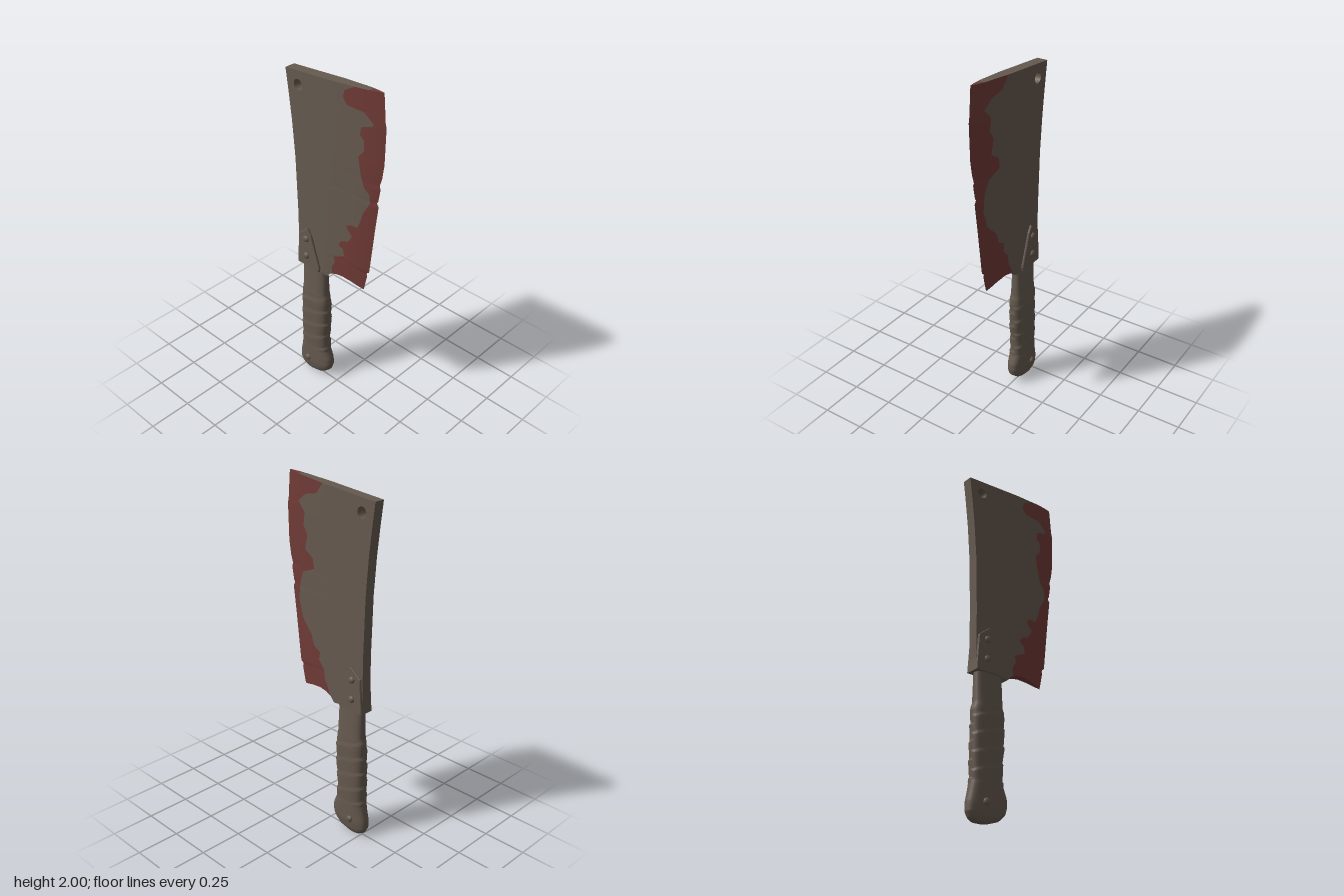
import * as THREE from 'three';
import { mergeVertices } from 'three/addons/utils/BufferGeometryUtils.js';

const mat = (name, color) => new THREE.MeshStandardMaterial({ name, color, side: THREE.DoubleSide });

// Piecewise-linear lookup in a list of [key, value] pairs with rising keys
function lookup(table, k) {
  if (k <= table[0][0]) return table[0][1];
  for (let i = 1; i < table.length; i++) {
    const [a, va] = table[i - 1], [b, vb] = table[i];
    if (k <= b) return va + (vb - va) * (k - a) / (b - a);
  }
  return table[table.length - 1][1];
}

// Smooth surface through a grid of points fn(u, v)
function sheet(fn, nu, nv) {
  const pos = [], idx = [];
  for (let j = 0; j <= nv; j++) for (let i = 0; i <= nu; i++) pos.push(...fn(i / nu, j / nv));
  for (let j = 0; j < nv; j++) for (let i = 0; i < nu; i++) {
    const a = j * (nu + 1) + i, c = a + nu + 1;
    idx.push(a, a + 1, c, a + 1, c + 1, c);
  }
  let g = new THREE.BufferGeometry();
  g.setAttribute('position', new THREE.Float32BufferAttribute(pos, 3));
  g.setIndex(idx);
  g = mergeVertices(g, 1e-5);
  g.computeVertexNormals();
  return g;
}

// Cutting edge: height to x, with nicks
const EDGE = [[0.8, 0.2], [0.9, 0.222], [0.915, 0.215], [0.93, 0.235], [1.0, 0.243], [1.21, 0.267],
  [1.365, 0.287], [1.38, 0.272], [1.395, 0.283], [1.47, 0.296], [1.485, 0.288], [1.53, 0.303],
  [1.61, 0.315], [1.81, 0.32], [1.84, 0.313], [1.9, 0.308], [1.99, 0.3]];
const BOTTOM = [[-0.1, 0.788], [-0.05, 0.78], [-0.03, 0.805], [0, 0.822], [0.06, 0.833], [0.12, 0.826], [0.2, 0.805]];
// Stain border on the front and on the back: height to x
const STAIN_FRONT = [[0.8, -0.01], [0.85, -0.015], [0.88, 0.01], [0.92, 0], [0.945, 0.075], [0.99, 0.07],
  [1.01, 0.035], [1.04, 0.05], [1.06, 0.1], [1.11, 0.13], [1.15, 0.09], [1.175, 0.1], [1.19, 0.165],
  [1.25, 0.185], [1.3, 0.2], [1.37, 0.24], [1.42, 0.235], [1.46, 0.2], [1.53, 0.18], [1.62, 0.165],
  [1.66, 0.2], [1.72, 0.2], [1.74, 0.175], [1.79, 0.18], [1.81, 0.26], [1.84, 0.23], [1.87, 0.2],
  [1.88, 0.09], [1.92, 0.065], [1.96, 0.075], [1.99, 0.14]];
const STAIN_BACK = [[0.8, -0.02], [0.87, 0.02], [0.93, 0.03], [0.97, 0.07], [1.02, 0.06], [1.05, 0.11],
  [1.12, 0.13], [1.2, 0.2], [1.3, 0.23], [1.4, 0.22], [1.47, 0.19], [1.5, 0.1], [1.56, 0.11], [1.6, 0.17],
  [1.68, 0.15], [1.73, 0.18], [1.8, 0.17], [1.85, 0.22], [1.9, 0.16], [1.92, 0.08], [1.99, 0.03]];
const GRIND = [[0, 0.0008], [0.04, 0.011], [0.11, 0.021], [0.28, 0.03]]; // distance from edge to half thickness

const SPLIT = -0.1;
const nominalY = (t) => 0.8 + 1.19 * t;
const topY = (x) => 1.974 + 0.087 * x;
const edgeX = (t) => lookup(EDGE, nominalY(t));
function bladePoint(x, t, side) {
  const y = THREE.MathUtils.lerp(lookup(BOTTOM, x), topY(x), t);
  return [x, y, side * lookup(GRIND, edgeX(t) - x)];
}

const polygon = (pts) => new THREE.Shape(pts.map(([x, y]) => new THREE.Vector2(x, y)));

export function createModel() {
  const group = new THREE.Group();
  const brown = mat('weathered brown', 0x665a4f);
  const red = mat('dark red', 0x703b36);
  const add = (name, geometry, material, parent = group) => {
    const m = new THREE.Mesh(geometry, material);
    m.name = name;
    parent.add(m);
    return m;
  };

  // Blade: flat spine half with the hanging hole
  const blade = new THREE.Group();
  blade.name = 'blade';
  group.add(blade);
  const spine = polygon([[SPLIT, 0.788], [SPLIT, topY(SPLIT)], [-0.327, 1.946], [-0.31, 1.82], [-0.291, 1.66],
    [-0.274, 1.45], [-0.264, 1.13], [-0.262, 0.788]]);
  spine.holes.push(new THREE.Path().absarc(-0.24, 1.877, 0.03, 0, Math.PI * 2, true));
  add('spine', new THREE.ExtrudeGeometry(spine, { depth: 0.06, bevelEnabled: false, curveSegments: 12 })
    .translate(0, 0, -0.03), brown, blade);

  // Blade: ground cheeks, split into clean and stained areas
  for (const [side, stain, label] of [[1, STAIN_FRONT, 'front'], [-1, STAIN_BACK, 'back']]) {
    const mix = THREE.MathUtils.lerp;
    const border = (t) => lookup(stain, nominalY(t));
    // the u direction is reversed on the back so both cheeks face outwards
    const dir = (u) => (side > 0 ? u : 1 - u);
    add(label + 'Cheek', sheet((u, t) => bladePoint(mix(SPLIT, border(t), dir(u)), t, side), 10, 110), brown, blade);
    add(label + 'Stain', sheet((u, t) => bladePoint(mix(border(t), edgeX(t), dir(u)), t, side), 8, 110), red, blade);
  }

  // Blade: narrow top and bottom rims closing the cheeks
  for (const [t, mid, label] of [[1, 0.22, 'top'], [0, -0.015, 'bottom']]) {
    const rim = (x0, x1) => sheet((u, v) =>
      bladePoint(x0 + (x1 - x0) * u, t, t ? 1 - 2 * v : 2 * v - 1), 14, 1);
    add(label + 'Rim', rim(SPLIT, mid), brown, blade);
    add(label + 'RimStain', rim(mid, edgeX(t)), red, blade);
  }

  // Handle: rounded oval loft with slanting wrapped bands
  const LEFT = [[0, -0.2], [0.006, -0.245], [0.02, -0.268], [0.05, -0.284], [0.1, -0.283], [0.15, -0.272],
    [0.21, -0.261], [0.4, -0.262], [0.58, -0.258], [0.62, -0.25], [0.8, -0.248]];
  const RIGHT = [[0, -0.19], [0.006, -0.15], [0.025, -0.09], [0.06, -0.052], [0.1, -0.04], [0.14, -0.043],
    [0.2, -0.068], [0.3, -0.073], [0.4, -0.063], [0.56, -0.062], [0.62, -0.073], [0.8, -0.078]];
  const DEPTH = [[0, 0], [0.006, 0.028], [0.03, 0.04], [0.08, 0.048], [0.3, 0.05], [0.55, 0.049],
    [0.65, 0.042], [0.8, 0.034]];
  const pow = (v) => Math.sign(v) * Math.abs(v) ** 0.75;
  add('handle', sheet((u, v) => {
    const y = 0.8 * v ** 1.2, a = -u * Math.PI * 2;
    const l = lookup(LEFT, y), r = lookup(RIGHT, y);
    const c = pow(Math.cos(a)), s = pow(Math.sin(a));
    const phase = (y - 0.03 * c * Math.sign(s || 1)) / 0.095;
    const wrapped = y > 0.2 && y < 0.6 ? 1 : 0;
    const k = 1 + wrapped * 0.07 * (phase - Math.floor(phase) - 0.5);
    return [(l + r) / 2 + (r - l) / 2 * c * k, y, lookup(DEPTH, y) * s * k];
  }, 40, 110), brown);

  // Riveted plates clasping the blade
  const plate = polygon([[-0.264, 0.787], [-0.105, 0.787], [-0.102, 0.81], [-0.163, 1.0], [-0.185, 1.038], [-0.25, 0.985]]);
  add('clasp', new THREE.ExtrudeGeometry(plate, {
    depth: 0.076, bevelThickness: 0.004, bevelSize: 0.003, bevelSegments: 1,
  }).translate(0, 0, -0.038), brown);

  // Domed rivets on both sides
  for (const [y, z] of [[0.97, 0.042], [0.857, 0.042], [0.1, 0.047]]) {
    for (const side of [1, -1]) {
      const rivet = add('rivet', new THREE.SphereGeometry(0.02, 14, 10), brown);
      rivet.scale.z = 0.7;
      rivet.position.set(-0.195, y, side * z);
    }
  }
  return group;
}
